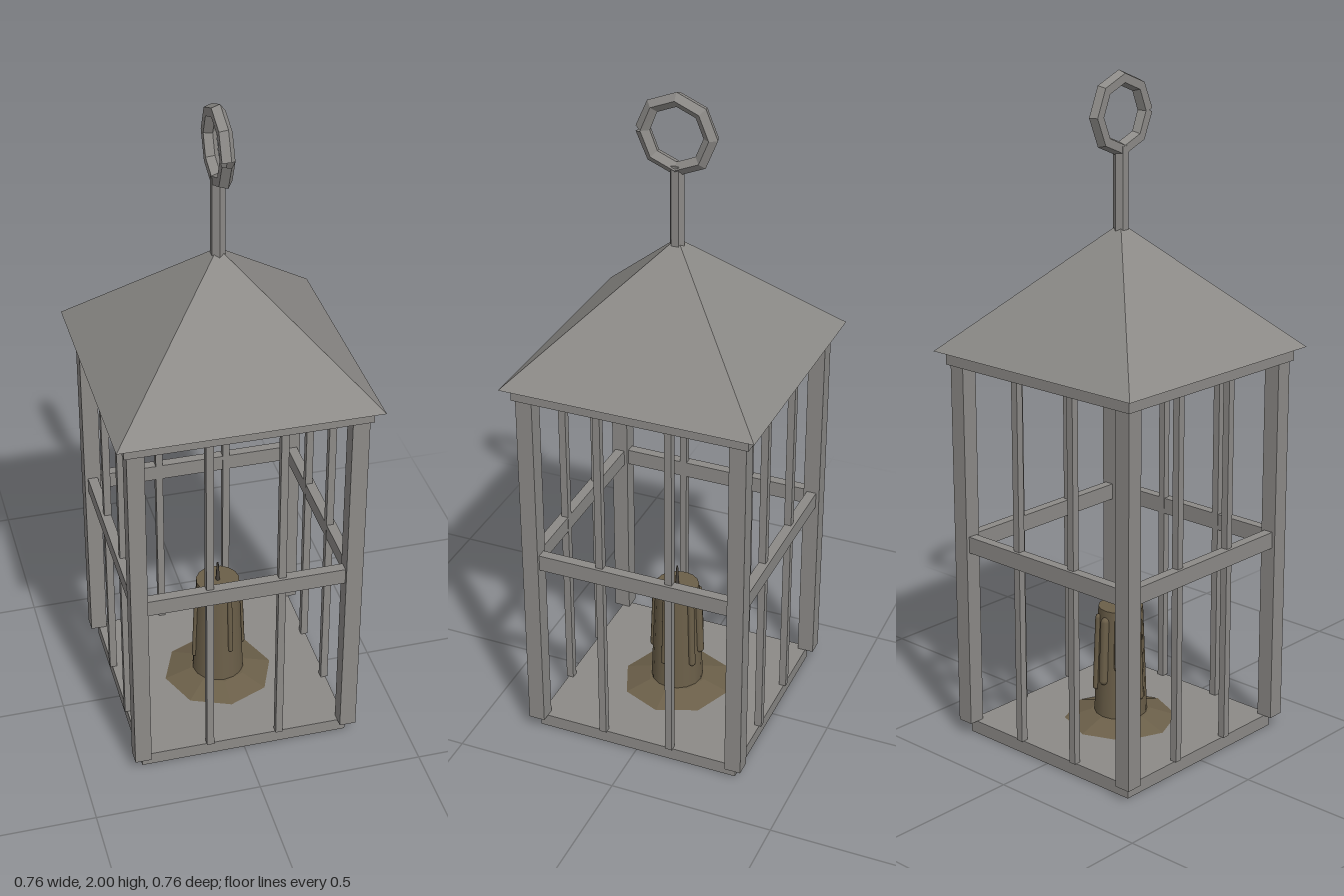
import * as THREE from 'three';

export function createModel() {
  const model = new THREE.Group();
  const iron = new THREE.MeshStandardMaterial({ color: 0x8c8a87, flatShading: true });
  iron.name = 'iron';
  const wax = new THREE.MeshStandardMaterial({ color: 0x6b5f49 });
  wax.name = 'wax';
  const char = new THREE.MeshStandardMaterial({ color: 0x45403a });
  char.name = 'charred wick';

  function add(name, geometry, material, x = 0, y = 0, z = 0, parent = model) {
    const mesh = new THREE.Mesh(geometry, material);
    mesh.name = name;
    mesh.position.set(x, y, z);
    parent.add(mesh);
    return mesh;
  }
  const box = (w, h, d) => new THREE.BoxGeometry(w, h, d);

  // Floor and ceiling plates
  add('basePlate', box(0.64, 0.04, 0.64), iron, 0, 0.02, 0);
  add('topPlate', box(0.71, 0.04, 0.71), iron, 0, 1.18, 0);

  // Four cage sides, each with one corner post, a middle rail and two bars
  for (let i = 0; i < 4; i++) {
    const side = new THREE.Group();
    side.name = 'cageSide';
    side.rotation.y = i * Math.PI / 2;
    model.add(side);
    add('cornerPost', box(0.05, 1.12, 0.05), iron, 0.321, 0.6, 0.321, side);
    add('middleRail', box(0.6, 0.05, 0.03), iron, 0, 0.615, 0.321, side);
    for (const x of [-0.108, 0.108]) {
      add('bar', box(0.022, 1.12, 0.022), iron, x, 0.6, 0.316, side);
    }
  }

  // Pyramid roof
  const roof = new THREE.ConeGeometry(0.38 * Math.SQRT2, 0.37, 4);
  roof.rotateY(Math.PI / 4);
  add('roof', roof, iron, 0, 1.385, 0);

  // Hanging rod and eight-sided ring
  add('hangingRod', new THREE.CylinderGeometry(0.022, 0.022, 0.25, 6), iron, 0, 1.665, 0);
  const ringPoints = [];
  for (let i = 0; i <= 8; i++) {
    const a = i * Math.PI / 4;
    ringPoints.push(new THREE.Vector3(0, 0.1 * Math.sin(a), 0.1 * Math.cos(a)));
  }
  const ringMaterial = iron.clone();
  ringMaterial.name = 'iron ring';
  ringMaterial.side = THREE.DoubleSide;
  const ringCurve = new THREE.CatmullRomCurve3(ringPoints);
  add('hangingRing', new THREE.TubeGeometry(ringCurve, 8, 0.022, 5, false), ringMaterial, 0, 1.879, 0);

  // Pool of melted wax, candle and wick
  const pool = new THREE.CylinderGeometry(0.09, 0.17, 0.026, 8).toNonIndexed();
  pool.computeVertexNormals();
  add('waxPool', pool, wax, 0, 0.053, 0);
  add('candle', new THREE.CylinderGeometry(0.067, 0.08, 0.34, 16), wax, 0, 0.235, 0);
  add('wick', new THREE.CylinderGeometry(0.003, 0.007, 0.07, 6), char, 0, 0.435, 0);

  // Wax drips: angle around the candle, lower end, width
  const drips = [
    [Math.PI, 0.17, 0.014], [2.6, 0.14, 0.011], [3.75, 0.22, 0.01],
    [0.3, 0.17, 0.008], [-1.5, 0.12, 0.008], [1.4, 0.15, 0.008],
  ];
  for (const [angle, low, width] of drips) {
    const length = 0.385 - low;
    const geometry = new THREE.CapsuleGeometry(width, length - 2 * width, 3, 8);
    const y = low + length / 2;
    const radius = 0.08 - 0.013 * (y - 0.065) / 0.34;
    const drip = add('waxDrip', geometry, wax, radius * Math.sin(angle), y, radius * Math.cos(angle));
    drip.rotation.set(-0.038, angle, 0, 'YXZ');
  }
  return model;
}
